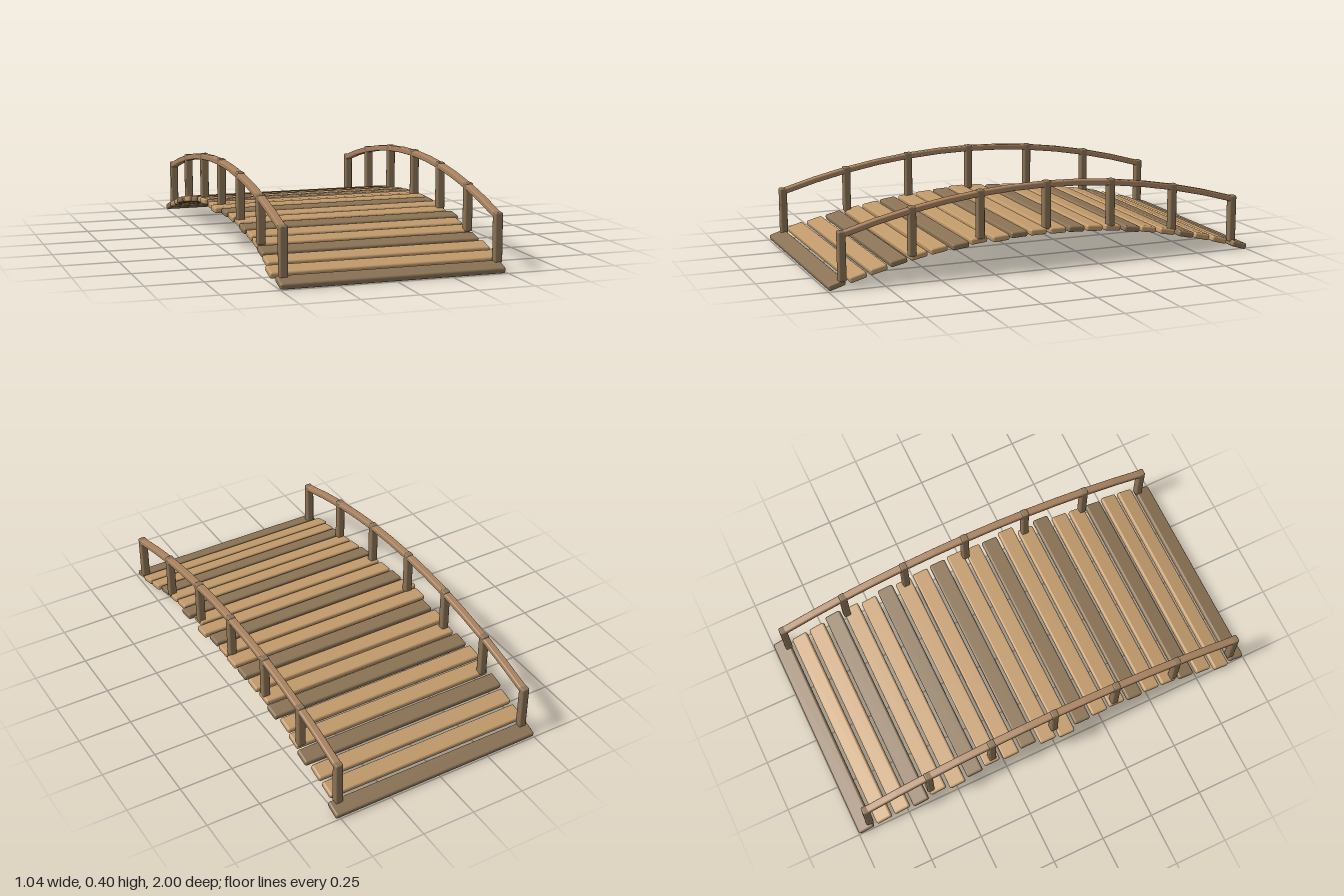
import * as THREE from 'three';
import { RoundedBoxGeometry } from 'three/addons/geometries/RoundedBoxGeometry.js';

const lightWood = new THREE.MeshStandardMaterial({ color: 0xc19a6b });
const darkWood = new THREE.MeshStandardMaterial({ color: 0x8b7355 });
const railWood = new THREE.MeshStandardMaterial({ color: 0xa98360 });

// Height and tilt of the arched deck along z
const deckY = z => 0.176 - 0.163 * z * z;
const deckTilt = z => Math.atan(0.326 * z);

function beam(name, w, h, d, radius, material) {
  const mesh = new THREE.Mesh(new RoundedBoxGeometry(w, h, d, 2, radius), material);
  mesh.name = name;
  return mesh;
}

export function createModel() {
  const bridge = new THREE.Group();
  bridge.name = 'archedFootbridge';

  // Deck planks from back to front: uneven left and right ends, every third one dark
  const ends = [
    [-0.50, 0.52], [-0.50, 0.495], [-0.50, 0.495], [-0.51, 0.51], [-0.50, 0.50], [-0.515, 0.49],
    [-0.505, 0.505], [-0.495, 0.495], [-0.505, 0.50], [-0.495, 0.505], [-0.515, 0.51], [-0.525, 0.505],
    [-0.50, 0.505], [-0.495, 0.52], [-0.49, 0.49], [-0.495, 0.51], [-0.49, 0.49], [-0.49, 0.49],
    [-0.495, 0.49], [-0.50, 0.50], [-0.515, 0.50], [-0.50, 0.49],
  ];
  const deck = new THREE.Group();
  deck.name = 'deck';
  ends.forEach(([x0, x1], i) => {
    const z = -0.96 + (1.92 * i) / (ends.length - 1);
    const plank = beam('plank', x1 - x0, 0.028, 0.078, 0.009, i % 3 ? lightWood : darkWood);
    plank.position.set((x0 + x1) / 2, deckY(z), z);
    plank.rotation.x = deckTilt(z);
    deck.add(plank);
  });
  bridge.add(deck);

  // Railings: upright posts and a handrail made of short straight pieces
  const span = 0.935, railRise = 0.206, postCount = 7, pieces = 12;
  for (const [name, x] of [['rightRailing', -0.47], ['leftRailing', 0.477]]) {
    const railing = new THREE.Group();
    railing.name = name;
    for (let i = 0; i < postCount; i++) {
      const z = -span + (2 * span * i) / (postCount - 1);
      const post = beam('post', 0.036, 0.217, 0.034, 0.007, darkWood);
      post.position.set(x, deckY(z) + 0.114, z);
      railing.add(post);
    }
    for (let i = 0; i < pieces; i++) {
      const z0 = -span + (2 * span * i) / pieces;
      const z1 = z0 + (2 * span) / pieces;
      const y0 = deckY(z0) + railRise, y1 = deckY(z1) + railRise;
      const rail = beam('handrailPiece', 0.034, 0.027, Math.hypot(z1 - z0, y1 - y0) + 0.014, 0.007, railWood);
      rail.position.set(x, (y0 + y1) / 2, (z0 + z1) / 2);
      rail.rotation.x = Math.atan2(y0 - y1, z1 - z0);
      railing.add(rail);
    }
    bridge.add(railing);
  }
  return bridge;
}
